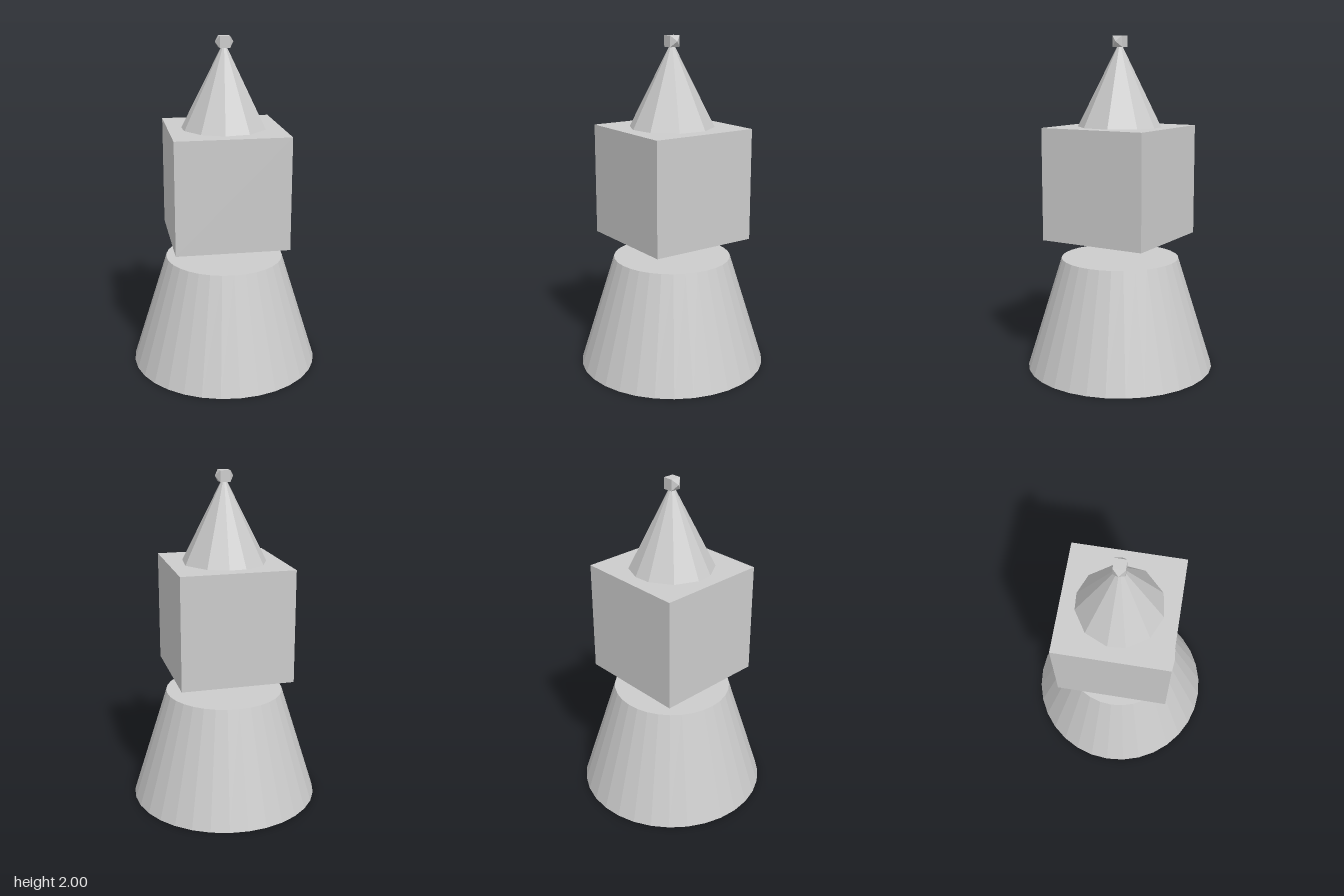
import * as THREE from 'three';

const material = new THREE.MeshStandardMaterial({ color: 0xcccccc, flatShading: true });

function addPart(group, name, geometry, y) {
  const mesh = new THREE.Mesh(geometry, material);
  mesh.name = name;
  mesh.position.y = y;
  group.add(mesh);
}

// Closed cone standing on y = 0, with its rim corners at the given angles (degrees)
function facetedCone(radius, height, angles) {
  const rim = angles.map((deg) => {
    const a = THREE.MathUtils.degToRad(deg);
    return [radius * Math.cos(a), 0, -radius * Math.sin(a)];
  });
  const positions = [];
  rim.forEach((p, i) => {
    const next = rim[(i + 1) % rim.length];
    positions.push(0, height, 0, ...p, ...next);
    positions.push(0, 0, 0, ...next, ...p);
  });
  const geometry = new THREE.BufferGeometry();
  geometry.setAttribute('position', new THREE.Float32BufferAttribute(positions, 3));
  geometry.computeVertexNormals();
  return geometry;
}

export function createModel() {
  const model = new THREE.Group();
  model.name = 'model';

  // Tapered round base
  addPart(model, 'base', new THREE.CylinderGeometry(0.356, 0.567, 0.676, 32), 0.338);

  // Cube floating above the base
  addPart(model, 'body', new THREE.BoxGeometry(0.667, 0.667, 0.667), 1.137);

  // Spire with unevenly spaced facets
  const spireAngles = [14, 53.5, 82.5, 105.5, 139.5, 173, 196, 229.5, 262.5, 296, 334.7];
  addPart(model, 'spire', facetedCone(0.252, 0.5, spireAngles), 1.47);

  // Small square knob, pointed towards both sides
  const r = 0.033 * Math.SQRT2;
  const profile = [[0, -0.054], [r, -0.03], [r, 0.03], [0, 0.054]].map(([x, y]) => new THREE.Vector2(x, y));
  const knob = new THREE.LatheGeometry(profile, 4, Math.PI / 4).rotateZ(Math.PI / 2);
  addPart(model, 'knob', knob, 1.967);

  return model;
}
